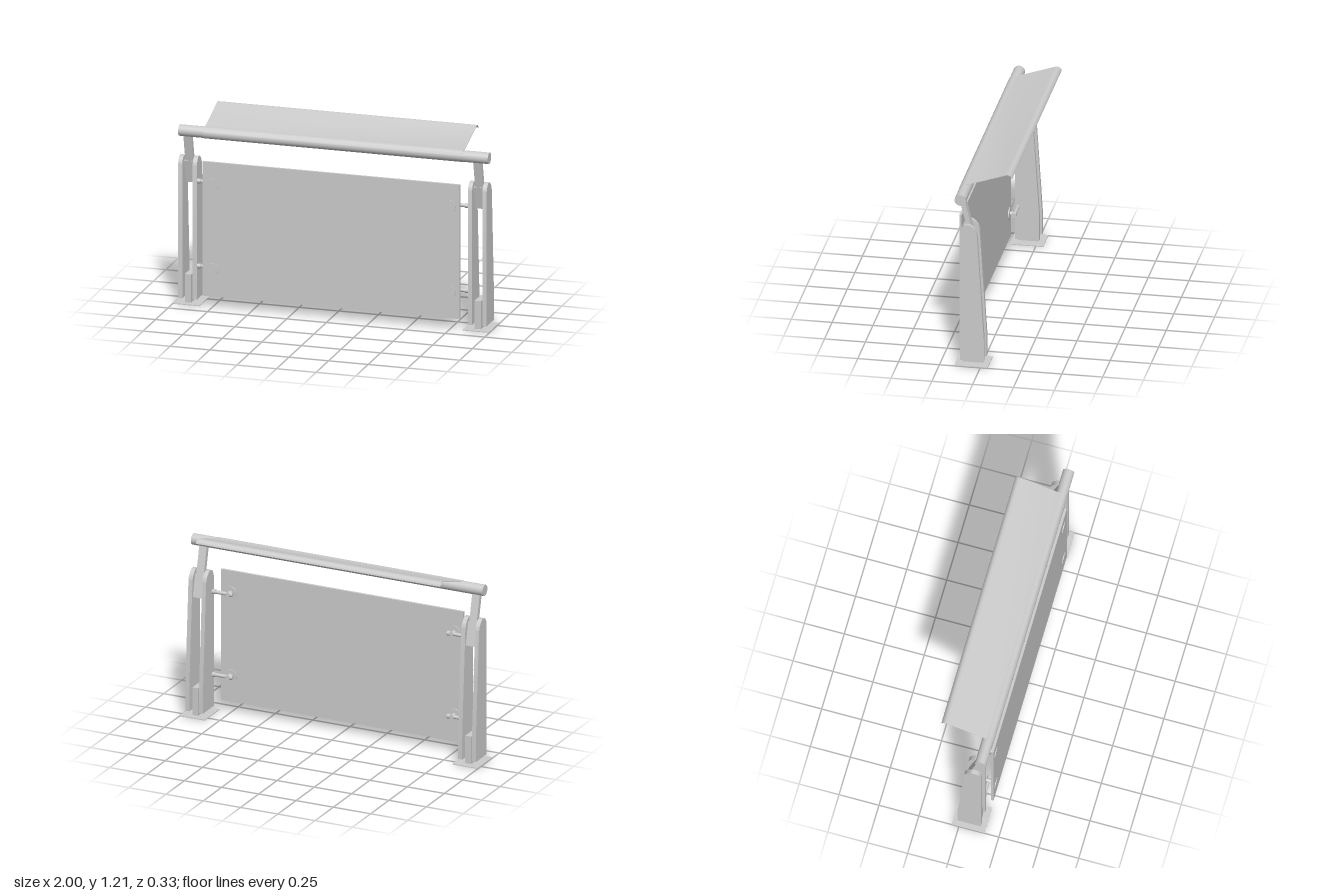
import * as THREE from 'three';
import { toCreasedNormals } from 'three/addons/utils/BufferGeometryUtils.js';

const material = new THREE.MeshStandardMaterial({ color: 0xcccccc, side: THREE.DoubleSide });

function add(parent, name, geometry, x = 0, y = 0, z = 0) {
  const mesh = new THREE.Mesh(geometry, material);
  mesh.name = name;
  mesh.position.set(x, y, z);
  parent.add(mesh);
  return mesh;
}

// Extrude a shape drawn in (-z, y) along x, centred on x = 0
function extrudeX(shape, width) {
  const g = new THREE.ExtrudeGeometry(shape, { depth: width, bevelEnabled: false, curveSegments: 10 });
  g.translate(0, 0, -width / 2).rotateY(Math.PI / 2);
  return toCreasedNormals(g, 0.5);
}

const polygon = pts => new THREE.Shape(pts.map(([z, y]) => new THREE.Vector2(-z, y)));

function rodX(radius, length, segments = 20) {
  return new THREE.CylinderGeometry(radius, radius, length, segments).rotateZ(Math.PI / 2);
}

function rodZ(radius, length, segments = 28) {
  return new THREE.CylinderGeometry(radius, radius, length, segments).rotateX(Math.PI / 2);
}

// Tapered side plate with a rounded head
function plateShape() {
  const s = new THREE.Shape();
  s.moveTo(-0.13, 0.03);
  s.lineTo(0.017, 0.03);
  s.lineTo(0.017, 0.18);
  s.lineTo(-0.026, 0.855);
  s.quadraticCurveTo(-0.035, 0.9, -0.07, 0.92);
  s.lineTo(-0.098, 0.92);
  s.quadraticCurveTo(-0.12, 0.912, -0.13, 0.875);
  s.closePath();
  return s;
}

function makePost(side) {
  const post = new THREE.Group();
  post.name = side > 0 ? 'leftPost' : 'rightPost';
  post.position.x = side * 0.915;
  add(post, 'basePlate', new THREE.BoxGeometry(0.17, 0.005, 0.205), 0, 0.0025, 0.057);
  add(post, 'footBlock', new THREE.BoxGeometry(0.04, 0.18, 0.122), 0, 0.092, 0.059);
  for (const x of [-0.046, 0.046]) add(post, 'sidePlate', extrudeX(plateShape(), 0.027), x);
  add(post, 'footPin', rodX(0.012, 0.09), 0, 0.08, 0.06);
  // Leaning arm that carries the rail, with a thicker root between the plates
  add(post, 'armRoot', extrudeX(polygon([[0.06, 0.745], [0.03, 0.752], [0.066, 0.895], [0.096, 0.888]]), 0.066));
  add(post, 'railArm', extrudeX(polygon([[0.086, 0.86], [0.056, 0.86], [0.107, 1.075], [0.138, 1.075]]), 0.05));
  return post;
}

// Clamp discs on both faces of the panel with a rod to the post
function makeClamp(side, y) {
  const clamp = new THREE.Group();
  clamp.name = 'panelClamp';
  clamp.position.set(side * 0.75, y, 0);
  add(clamp, 'frontDisc', rodZ(0.04, 0.005), 0, 0, 0.1645);
  add(clamp, 'backDisc', rodZ(0.04, 0.007), 0, 0, 0.1445);
  add(clamp, 'hub', rodZ(0.014, 0.045, 20), 0, 0, 0.125);
  add(clamp, 'rod', rodX(0.011, 0.14), side * 0.045, 0, 0.115);
  add(clamp, 'rodCollar', rodX(0.015, 0.03), side * 0.1, 0, 0.115);
  add(clamp, 'rodEnd', rodX(0.015, 0.02), side * -0.02, 0, 0.115);
  return clamp;
}

// Thin sheet wrapped round the rail, sloping up to a curled back lip
function canopyShape() {
  const path = [];
  for (let i = 0; i <= 14; i++) {
    const a = -Math.PI / 2 + (i / 14) * (Math.PI + 0.28);
    path.push(new THREE.Vector2(-0.125 - 0.037 * Math.cos(a), 1.088 + 0.037 * Math.sin(a)));
  }
  for (let i = 0; i <= 8; i++) {
    const a = 1.87 - (i / 8) * 1.65;
    path.push(new THREE.Vector2(0.135 + 0.03 * Math.cos(a), 1.177 + 0.03 * Math.sin(a)));
  }
  const inner = path.map((p, i) => {
    const t = path[Math.min(i + 1, path.length - 1)].clone().sub(path[Math.max(i - 1, 0)]).normalize();
    return new THREE.Vector2(p.x + t.y * 0.003, p.y - t.x * 0.003);
  });
  return new THREE.Shape([...path, ...inner.reverse()]);
}

export function createModel() {
  const model = new THREE.Group();
  model.name = 'railing';
  for (const side of [-1, 1]) {
    model.add(makePost(side));
    for (const y of [0.24, 0.775]) model.add(makeClamp(side, y));
  }
  add(model, 'panel', new THREE.BoxGeometry(1.623, 0.845, 0.015), 0.003, 0.4925, 0.155);
  add(model, 'handrail', rodX(0.035, 1.955, 40), 0.0125, 1.088, 0.125);
  add(model, 'canopy', extrudeX(canopyShape(), 1.638), 0.011);
  return model;
}
